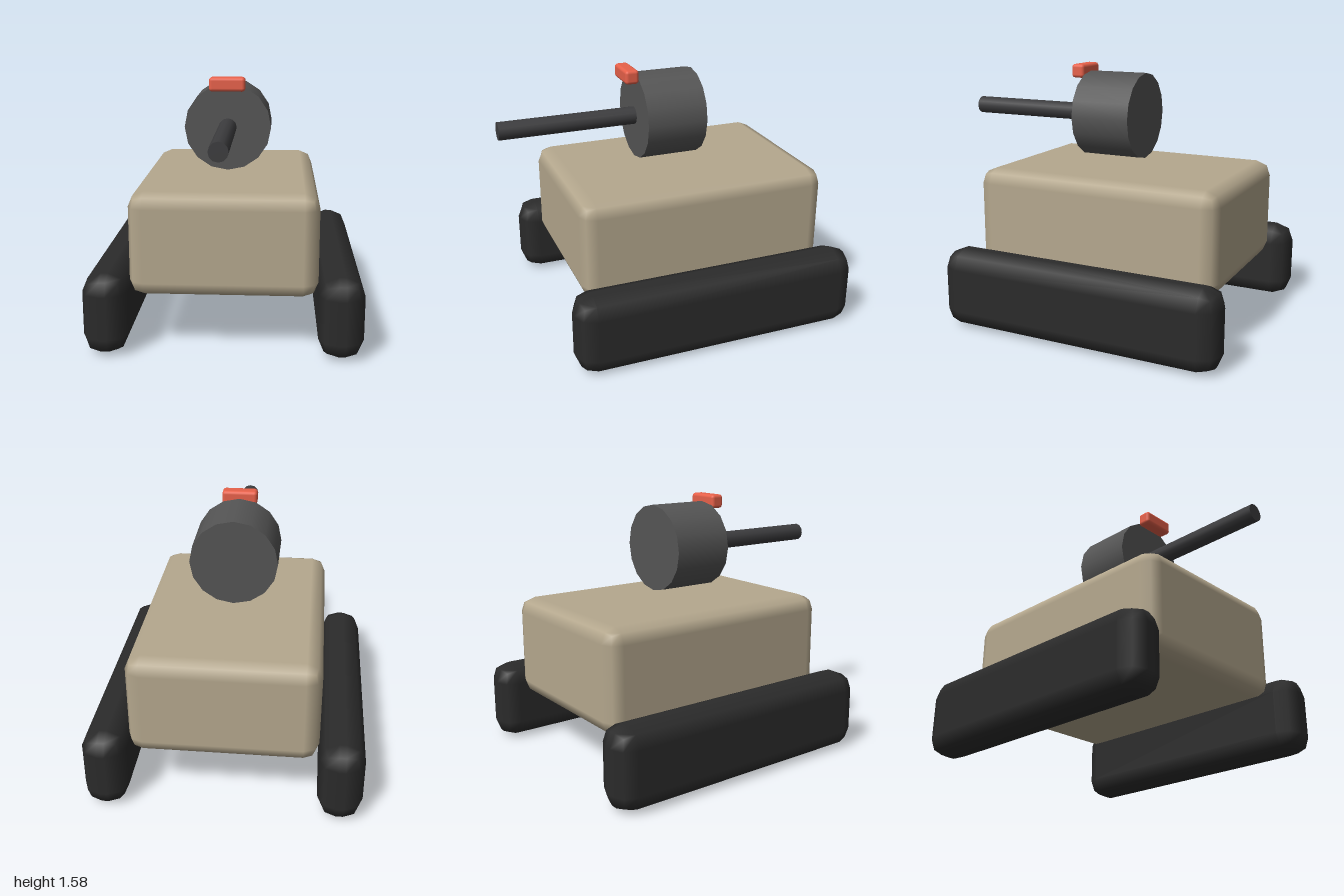
import * as THREE from 'three';
import { RoundedBoxGeometry } from 'three/addons/geometries/RoundedBoxGeometry.js';

const material = (color) => new THREE.MeshStandardMaterial({ color });

function addMesh(parent, name, geometry, mat, x, y, z) {
  const mesh = new THREE.Mesh(geometry, mat);
  mesh.name = name;
  mesh.position.set(x, y, z);
  parent.add(mesh);
  return mesh;
}

// Cylinder lying along z
const drum = (radius, length, sides) =>
  new THREE.CylinderGeometry(radius, radius, length, sides).rotateX(Math.PI / 2);

export function createModel() {
  const model = new THREE.Group();
  model.name = 'tank';

  const tan = material(0xb5a88e);
  const rubber = material(0x2b2b2b);
  const steel = material(0x555555);
  const darkSteel = material(0x3c3c3e);
  const red = material(0xe8614a);

  // Hull with softly bevelled edges
  addMesh(model, 'hull', new RoundedBoxGeometry(1.11, 0.62, 1.555, 1, 0.09), tan, 0, 0.645, -0.113);

  // One track along each side
  for (const [name, side] of [['leftTrack', 1], ['rightTrack', -1]]) {
    addMesh(model, name, new RoundedBoxGeometry(0.265, 0.487, 1.777, 1, 0.112), rubber, side * 0.688, 0.2435, -0.1115);
  }

  // Turret drum floating above the hull, with its gun and sight
  const turret = new THREE.Group();
  turret.name = 'turret';
  turret.position.set(0, 1.267, 0);
  model.add(turret);
  addMesh(turret, 'turretDrum', drum(0.265, 0.377, 16), steel, 0, 0, -0.0315);
  addMesh(turret, 'gunBarrel', drum(0.055, 0.86, 12), darkSteel, 0, 0, 0.57);
  addMesh(turret, 'sight', new RoundedBoxGeometry(0.218, 0.085, 0.085, 2, 0.02), red, 0, 0.267, 0.2);

  return model;
}
